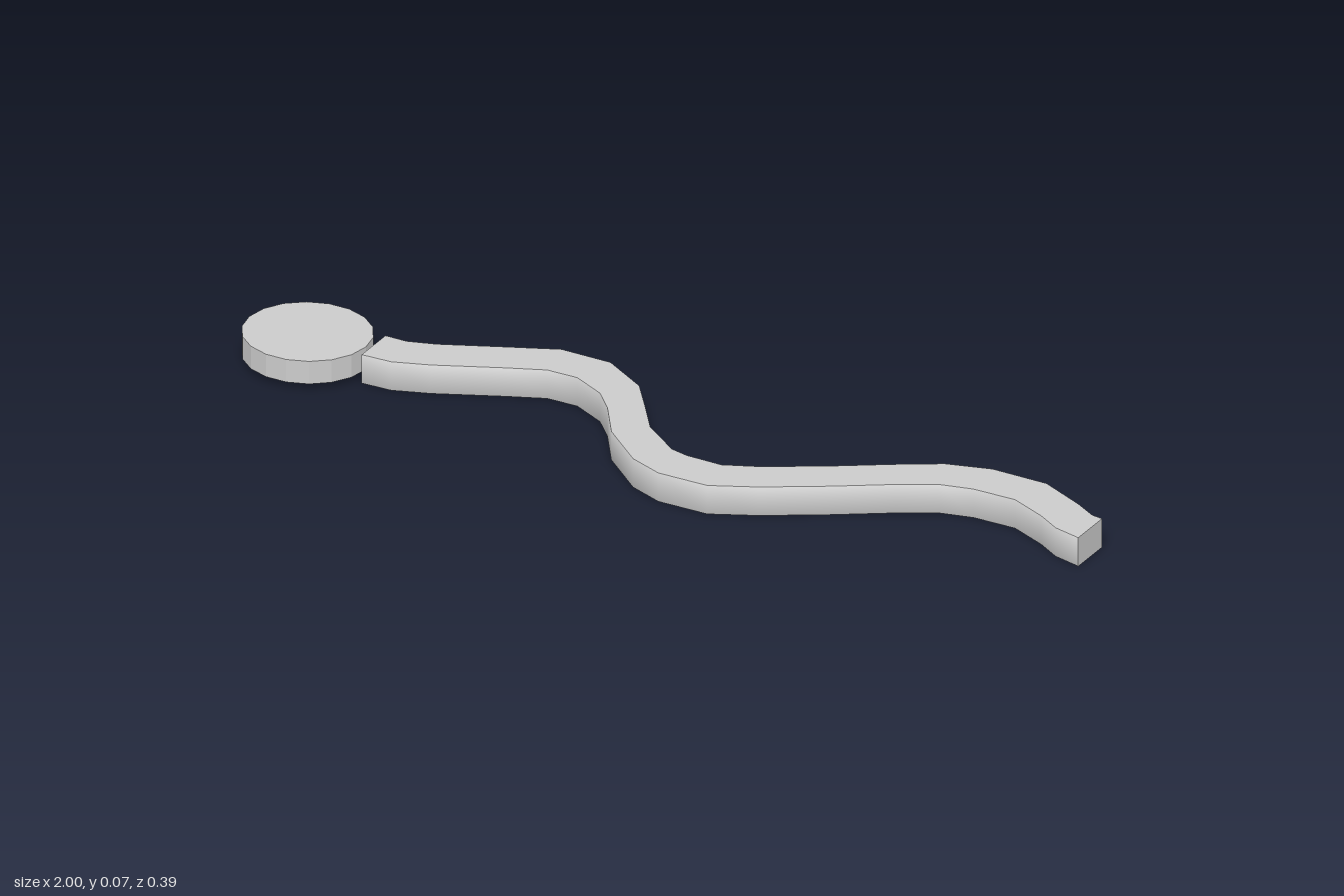
import * as THREE from 'three';

const HEIGHT = 0.067;
const material = new THREE.MeshStandardMaterial({ color: 0xcccccc });

// Centre line of the winding body, as [x, z]
const PATH = [
  [-0.71, -0.015], [-0.65, -0.016], [-0.58, -0.04], [-0.44, -0.105], [-0.35, -0.145],
  [-0.255, -0.145], [-0.165, -0.095], [-0.115, -0.035], [-0.055, 0.05], [0.04, 0.125],
  [0.10, 0.145], [0.20, 0.145], [0.285, 0.105], [0.41, 0.03], [0.525, -0.045],
  [0.61, -0.095], [0.695, -0.118], [0.81, -0.118], [0.905, -0.075], [0.955, -0.045], [1, -0.035],
];

// Rectangular section swept along the path; soft-shaded walls, flat top and bottom
function bodyGeometry() {
  const last = PATH.length - 1;
  const rings = PATH.map(([x, z], i) => {
    const a = PATH[Math.max(i - 1, 0)], b = PATH[Math.min(i + 1, last)];
    const t = new THREE.Vector2(b[0] - a[0], b[1] - a[1]).normalize();
    if (i === 0 || i === last) t.set(1, 0); // ends are cut square
    const side = new THREE.Vector3(-t.y, 0, t.x);
    const half = 0.05 * (0.46 + 0.54 * t.x); // steeper stretches are slimmer
    const corner = (s, y) => new THREE.Vector3(x, y, z).addScaledVector(side, s * half);
    return { side, p: [corner(-1, HEIGHT), corner(1, HEIGHT), corner(1, 0), corner(-1, 0)] };
  });

  const positions = [], normals = [];
  const quad = (p, n) => [0, 1, 2, 0, 2, 3].forEach((k) => {
    positions.push(...p[k].toArray());
    normals.push(...n[k].toArray());
  });
  const flat = (x, y) => Array(4).fill(new THREE.Vector3(x, y, 0));
  // Wall normals lean up at the top edge and down at the bottom edge
  const lean = (ring, s, y) => ring.side.clone().multiplyScalar(s).setY(y).normalize();

  for (let i = 0; i < last; i++) {
    const A = rings[i], B = rings[i + 1];
    const strip = (k, m, n) => quad([A.p[k], A.p[m], B.p[m], B.p[k]], n);
    strip(0, 1, flat(0, 1));
    strip(1, 2, [lean(A, 1, 0.5), lean(A, 1, -0.3), lean(B, 1, -0.3), lean(B, 1, 0.5)]);
    strip(2, 3, flat(0, -1));
    strip(3, 0, [lean(A, -1, -0.3), lean(A, -1, 0.5), lean(B, -1, 0.5), lean(B, -1, -0.3)]);
  }
  // End caps
  quad([0, 3, 2, 1].map((k) => rings[0].p[k]), flat(-1, 0));
  quad(rings[last].p, flat(1, 0));

  const geometry = new THREE.BufferGeometry();
  geometry.setAttribute('position', new THREE.Float32BufferAttribute(positions, 3));
  geometry.setAttribute('normal', new THREE.Float32BufferAttribute(normals, 3));
  return geometry;
}

export function createModel() {
  const group = new THREE.Group();

  const body = new THREE.Mesh(bodyGeometry(), material);
  body.name = 'windingBody';
  group.add(body);

  // Faceted disc in front of the narrow end, slightly raised
  const thickness = 0.053;
  const disc = new THREE.Mesh(
    new THREE.CylinderGeometry(0.14, 0.14, thickness, 18, 1, false, Math.PI / 2).scale(1, 1, 0.96),
    new THREE.MeshStandardMaterial({ color: 0xcccccc, flatShading: true }),
  );
  disc.name = 'endDisc';
  disc.position.set(-0.86, HEIGHT - thickness / 2, 0);
  group.add(disc);

  return group;
}
